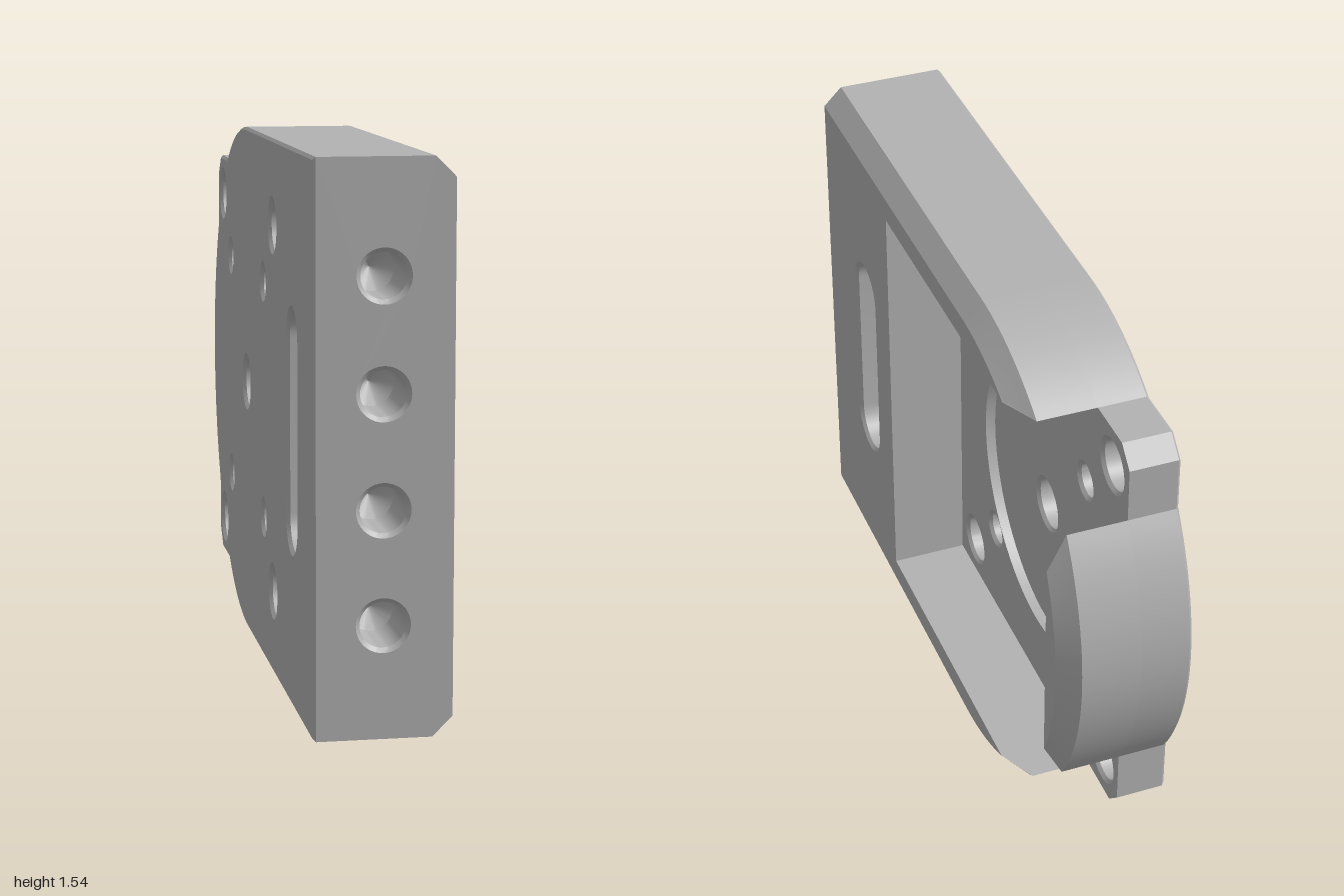
import * as THREE from 'three';
import { mergeGeometries, toCreasedNormals } from 'three/addons/utils/BufferGeometryUtils.js';

// Profile plane: u runs to the rear, v is up; w is the thickness direction.
const MID = 0.77, R = 0.77, CU = 0.23;          // centre height and rear arc
const BACK = -0.188, FACE = 0.188, FLOOR = -0.04, CH = 0.055, BEV = 0.008;
const POCKET = 0.645, PU0 = -0.42, PU1 = 0.87;  // pocket half height and its u range

const V = (x, y) => new THREE.Vector2(x, y);

function arc(cu, cv, r, a0, a1, n = 24) {
  return Array.from({ length: n + 1 }, (_, i) => {
    const a = a0 + (a1 - a0) * i / n;
    return V(cu + r * Math.cos(a), cv + r * Math.sin(a));
  });
}
const circle = (u, v, r) => arc(u, v, r, 0, Math.PI * 2, 40).slice(0, -1);
const slot = (r) => [
  ...arc(-0.65, MID + 0.245, r, 0, Math.PI, 16),
  ...arc(-0.65, MID - 0.245, r, Math.PI, Math.PI * 2, 16),
];

// Walls joining equal-length loops at rising levels; counter-clockwise loops face outward
function loft(loops, levels, closed = true) {
  const n = loops[0].length, pos = [], idx = [];
  loops.forEach((l, k) => l.forEach((p) => pos.push(p.x, p.y, levels[k])));
  for (let k = 0; k < loops.length - 1; k++) {
    for (let i = 0; i < (closed ? n : n - 1); i++) {
      const j = (i + 1) % n, a = k * n + i, b = k * n + j;
      idx.push(a, b, b + n, a, b + n, a + n);
    }
  }
  const g = new THREE.BufferGeometry();
  g.setAttribute('position', new THREE.Float32BufferAttribute(pos, 3));
  g.setIndex(idx);
  return g;
}

// Flat face with holes
function cap(points, holes, level, flip = false) {
  const s = new THREE.Shape(points);
  s.holes = holes.map((h) => new THREE.Path(h));
  const g = new THREE.ShapeGeometry(s);
  g.deleteAttribute('uv');
  g.deleteAttribute('normal');
  g.translate(0, 0, level);
  if (flip) g.index.array.reverse();
  return g;
}

// Inward-facing through hole with a small bevel at both mouths
function through(outline, r, w0, w1) {
  const rs = [r, r - 0.01, r - 0.01, r];
  return loft(rs.map((q) => outline(q).reverse()), [w0, w0 + 0.01, w1 - 0.01, w1]);
}

// Angle at which an arc of radius r meets the pocket edge / the rear lip
const cutA = (r) => Math.asin(POCKET / r);
const lipA = (r) => Math.acos((PU1 - CU) / r);

// Lower plate outline with the two corner lugs, inset by i
function baseOutline(i) {
  const r = R - i, p = POCKET - i, e = PU1 - i, c = 0.055;
  const a = Math.asin(p / r), l = Math.acos((e - CU) / r);
  return [
    V(-1 + i, MID - r), ...arc(CU, MID, r, -Math.PI / 2, -a),
    V(e - c, MID - p), V(e, MID - p + c),
    ...arc(CU, MID, r, -l, l),
    V(e, MID + p - c), V(e - c, MID + p),
    ...arc(CU, MID, r, a, Math.PI / 2), V(-1 + i, MID + r),
  ];
}

// Raised frame around three sides of the pocket
function frameOutline(r) {
  const a = cutA(r);
  return [
    V(-1, MID - r), ...arc(CU, MID, r, -Math.PI / 2, -a),
    V(PU0, MID - POCKET), V(PU0, MID + POCKET),
    ...arc(CU, MID, r, a, Math.PI / 2), V(-1, MID + r),
  ];
}
const lipOutline = (r) => arc(CU, MID, r, -lipA(r), lipA(r));

export function createModel() {
  const steel = new THREE.MeshStandardMaterial({ color: 0xb2b2b2 });
  steel.name = 'plainGrey';
  const model = new THREE.Group();
  model.name = 'mountingPlate';
  const plate = new THREE.Group();
  plate.name = 'plate';
  plate.rotation.y = Math.PI / 2; // profile plane to the side of the model
  model.add(plate);

  const add = (parent, name, geoms) => {
    const g = toCreasedNormals(mergeGeometries(geoms), 0.4);
    const m = new THREE.Mesh(g, steel);
    m.name = name;
    parent.add(m);
  };

  // Hole layout: [u, v, mouth radius]
  const corner = [], small = [];
  for (const s of [-1, 1]) {
    for (const u of [-0.3, 0.757]) corner.push([u, MID + s * 0.528, 0.083]);
    for (const u of [-0.118, 0.578]) small.push([u, MID + s * 0.348, 0.06]);
  }
  const centre = [CU, MID, 0.087];
  const outer = [...corner, ...small];
  const recessR = 0.43, recessW = FLOOR - 0.03;

  // Lower plate with lugs
  add(plate, 'basePlate', [
    cap(baseOutline(BEV), [...[...outer, centre].map((h) => circle(...h)), slot(0.1)], BACK, true),
    loft([baseOutline(BEV), baseOutline(0)], [BACK, BACK + BEV]),
    loft([baseOutline(0), baseOutline(0)], [BACK + BEV, FLOOR], false),
  ]);

  // Frame and rear lip share the chamfered rim
  const rim = [R, R, R - CH], rimW = [FLOOR, FACE - CH, FACE];
  add(plate, 'raisedFrame', [
    loft(rim.map(frameOutline), rimW, false),
    cap(frameOutline(R - CH), [slot(0.1)], FACE),
  ]);
  add(plate, 'rearLip', [
    loft(rim.map(lipOutline), rimW),
    cap(lipOutline(R - CH), [], FACE),
  ]);

  // Pocket floor with round recess
  const lo = MID - POCKET, hi = MID + POCKET;
  const floor = [
    V(PU0, lo), V(PU1 - 0.055, lo), V(PU1, lo + 0.055),
    V(PU1, hi - 0.055), V(PU1 - 0.055, hi), V(PU0, hi),
  ];
  const ring = () => arc(CU, MID, recessR, 0, Math.PI * 2, 72).slice(0, -1);
  add(plate, 'pocketFloor', [cap(floor, [ring(), ...outer.map((h) => circle(...h))], FLOOR)]);
  add(plate, 'roundRecess', [
    loft([ring().reverse(), ring().reverse()], [recessW, FLOOR]),
    cap(ring(), [circle(...centre)], recessW),
  ]);

  // Through holes and slot
  add(plate, 'throughHoles', [
    ...outer.map(([u, v, r]) => through((q) => circle(u, v, q), r, BACK, FLOOR)),
    through((q) => circle(CU, MID, q), centre[2], BACK, recessW),
  ]);
  add(plate, 'longSlot', [through(slot, 0.1, BACK, FACE)]);

  // Front end face with four blind drilled bores
  const top = 2 * MID;
  const end = [
    V(BACK + BEV, 0), V(FACE - CH, 0), V(FACE, CH),
    V(FACE, top - CH), V(FACE - CH, top), V(BACK + BEV, top),
  ];
  const ys = [-1.5, -0.5, 0.5, 1.5].map((k) => MID + k * 0.308);
  add(model, 'frontEnd', [cap(end, ys.map((y) => circle(0, y, 0.074)), 1)]);
  add(model, 'frontBores', ys.map((y) => loft(
    [0.0005, 0.062, 0.062, 0.074].map((r) => circle(0, y, r).reverse()),
    [0.772, 0.81, 0.988, 1],
  )));
  return model;
}
